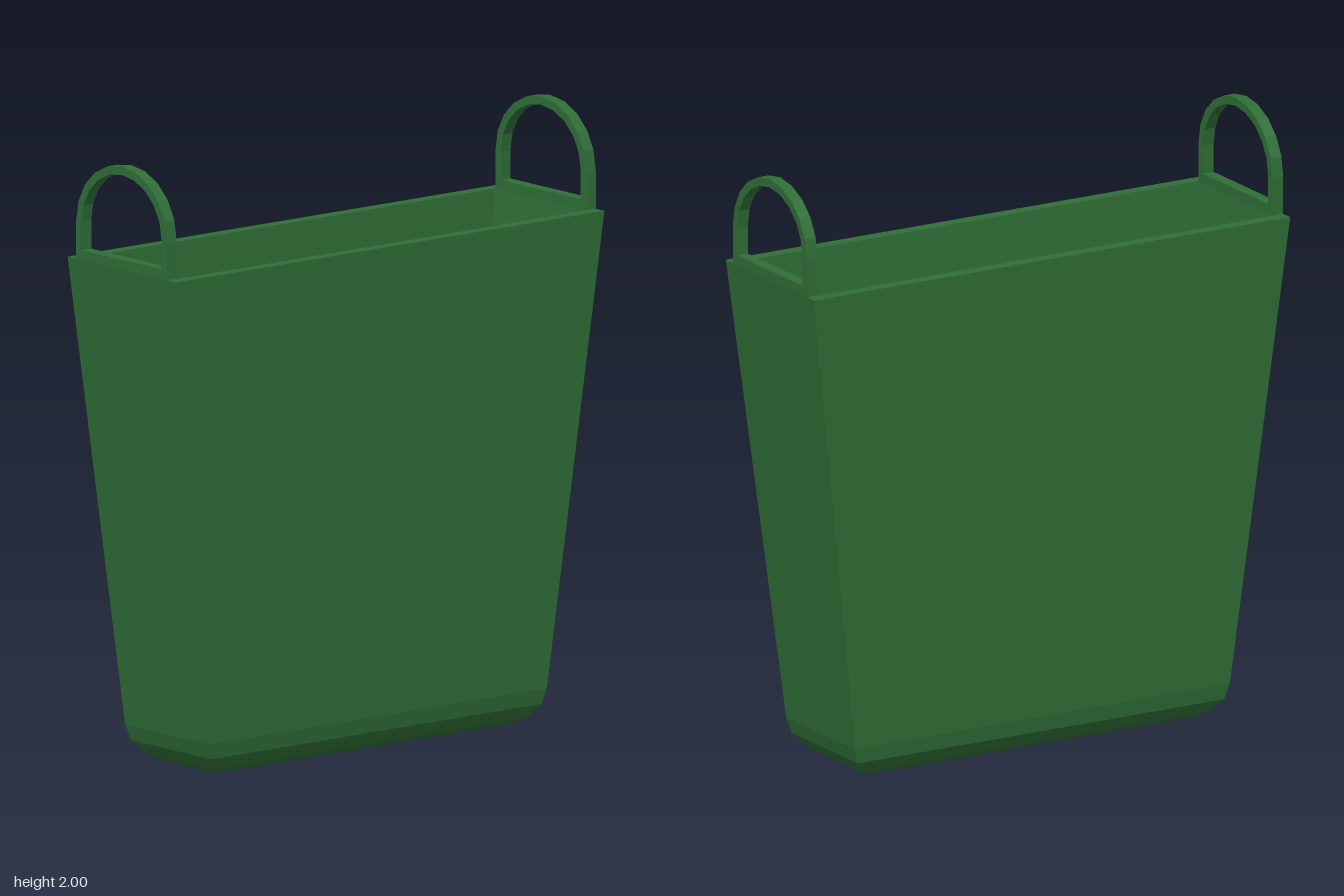
import * as THREE from 'three';

const RIM = 1.665;

// Skin rectangular cross-sections [halfX, y, halfZ] in order
function loftRectangles(sections) {
  const corners = [[1, 1], [1, -1], [-1, -1], [-1, 1]];
  const point = ([hx, y, hz], i) => {
    const [sx, sz] = corners[i % 4];
    return [sx * hx, y, sz * hz];
  };
  const pos = [];
  for (let s = 0; s < sections.length - 1; s++) {
    for (let i = 0; i < 4; i++) {
      const a = point(sections[s], i), b = point(sections[s], i + 1);
      const c = point(sections[s + 1], i + 1), d = point(sections[s + 1], i);
      pos.push(...a, ...b, ...c, ...a, ...c, ...d);
    }
  }
  const geo = new THREE.BufferGeometry();
  geo.setAttribute('position', new THREE.Float32BufferAttribute(pos, 3));
  geo.computeVertexNormals();
  return geo;
}

// Arch outline: straight legs topped by a faceted half ellipse
function archPoints(halfWidth, bottom, spring, top) {
  const pts = [new THREE.Vector2(-halfWidth, bottom), new THREE.Vector2(halfWidth, bottom)];
  const n = 10;
  for (let i = 0; i <= n; i++) {
    const t = (i / n) * Math.PI;
    pts.push(new THREE.Vector2(halfWidth * Math.cos(t), spring + (top - spring) * Math.sin(t)));
  }
  return pts;
}

export function createModel() {
  const group = new THREE.Group();
  group.name = 'basket';
  const green = new THREE.MeshStandardMaterial({ color: 0x2f6e37, flatShading: true });
  green.name = 'green';

  // Open tapered body: underside, rounded base, outer wall, rim, inner wall, floor
  const body = new THREE.Mesh(loftRectangles([
    [0, 0, 0],
    [0.56, 0, 0.075],
    [0.605, 0.01, 0.125],
    [0.65, 0.036, 0.172],
    [0.685, 0.078, 0.2],
    [0.7, 0.13, 0.21],
    [0.89, RIM, 0.268],
    [0.85, RIM, 0.226],
    [0.65, 0.07, 0.174],
    [0, 0.07, 0],
  ]), green);
  body.name = 'body';
  group.add(body);

  // Arched handle on each end wall, with a low bar between its legs
  const outline = new THREE.Shape(archPoints(0.225, RIM, 1.79, 2));
  outline.holes.push(new THREE.Path(archPoints(0.198, 1.697, 1.79, 1.973).reverse()));
  const handleGeo = new THREE.ExtrudeGeometry(outline, { depth: 0.04, bevelEnabled: false });
  handleGeo.rotateY(Math.PI / 2);
  for (const [name, x] of [['leftHandle', 0.85], ['rightHandle', -0.89]]) {
    const handle = new THREE.Mesh(handleGeo, green);
    handle.name = name;
    handle.position.x = x;
    group.add(handle);
  }
  return group;
}
